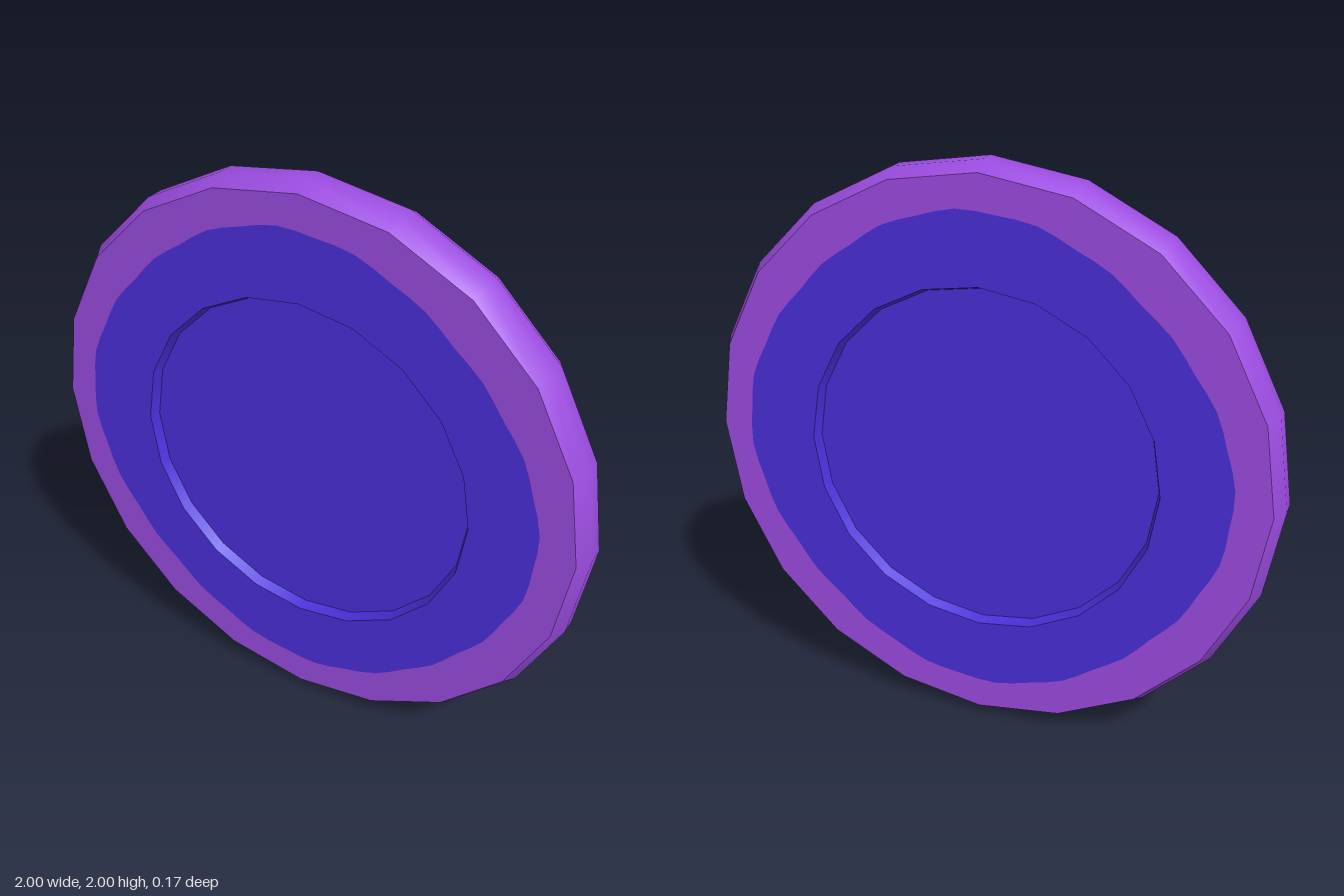
import * as THREE from 'three';

const SIDES = 20;
const HALF = 0.083;    // half thickness
const FLOOR = 0.048;   // height of the recessed floor
const FACE_R = 0.97, LIP_R = 0.615, FLOOR_R = 0.602;

// Points of a regular polygon with a corner on the x axis
function ring(radius, n = SIDES) {
  return Array.from({ length: n }, (_, i) => {
    const a = (i / n) * Math.PI * 2;
    return new THREE.Vector2(Math.cos(a) * radius, Math.sin(a) * radius);
  });
}

// Slightly uneven border between the two colours
function border() {
  const n = 80;
  return Array.from({ length: n }, (_, i) => {
    const a = (i / n) * Math.PI * 2;
    const r = 0.837 + 0.017 * Math.cos(4 * a) + 0.004 * Math.sin(20 * a);
    return new THREE.Vector2(Math.cos(a) * r - 0.008, Math.sin(a) * r);
  });
}

function flat(outer, inner, z) {
  const shape = new THREE.Shape(outer);
  if (inner) shape.holes.push(new THREE.Path(inner));
  return new THREE.ShapeGeometry(shape).translate(0, 0, z);
}

// Revolve [radius, z] pairs around the z axis
function turned(profile) {
  const points = profile.map(([r, z]) => new THREE.Vector2(r, z));
  return new THREE.LatheGeometry(points, SIDES).rotateX(Math.PI / 2);
}

export function createModel() {
  const purple = new THREE.MeshStandardMaterial({ name: 'purple', color: 0x9b4ce0 });
  const blue = new THREE.MeshStandardMaterial({ name: 'blue', color: 0x4a2fd9 });

  const model = new THREE.Group();
  model.name = 'disc';
  const add = (parent, name, geometry, material) => {
    const mesh = new THREE.Mesh(geometry, material);
    mesh.name = name;
    parent.add(mesh);
  };

  // Chamfered outer rim
  add(model, 'rim', turned([[FACE_R, -HALF], [1, -0.03], [1, 0.03], [FACE_R, HALF]]), purple);

  // Identical front and back faces with a shallow recess
  ['frontFace', 'backFace'].forEach((name, i) => {
    const face = new THREE.Group();
    face.name = name;
    face.rotation.y = i * Math.PI;
    add(face, 'outerBand', flat(ring(FACE_R), border(), HALF), purple);
    add(face, 'innerBand', flat(border(), ring(LIP_R), HALF), blue);
    add(face, 'recessWall', turned([[LIP_R, HALF], [FLOOR_R, FLOOR]]), blue);
    add(face, 'recessFloor', flat(ring(FLOOR_R), null, FLOOR), blue);
    model.add(face);
  });

  model.position.y = 1;
  const root = new THREE.Group();
  root.name = 'standingDisc';
  root.add(model);
  return root;
}
